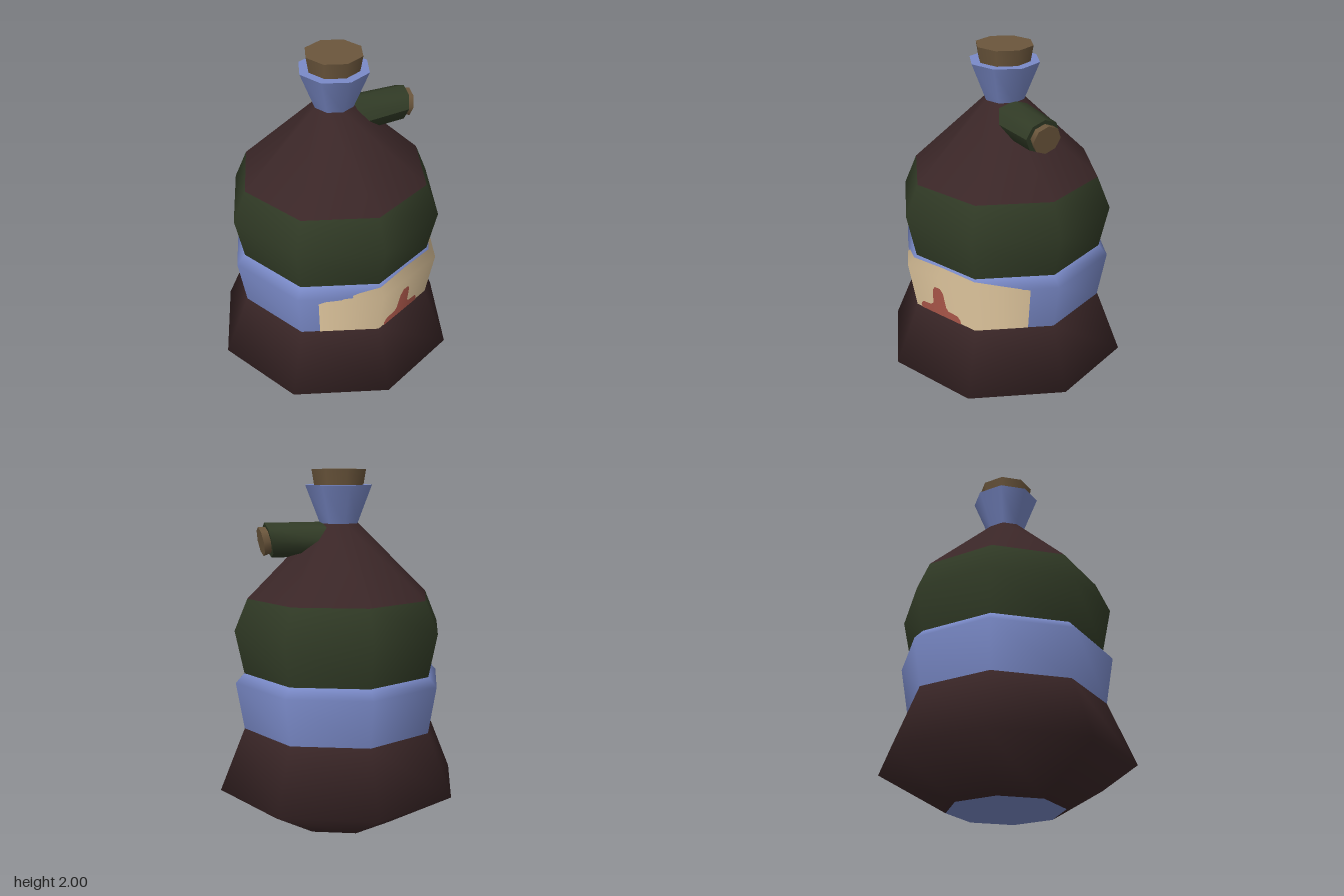
import * as THREE from 'three';

const SIDES = 8;
const mat = (name, color) => {
  const m = new THREE.MeshStandardMaterial({ color });
  m.name = name;
  return m;
};

export function createModel() {
  const group = new THREE.Group();
  const brown = mat('dark brown leather', 0x3a2627);
  const green = mat('dark green', 0x313b26);
  const blue = mat('blue', 0x7a8ac8);
  const cream = mat('cream paper', 0xdcc39b);
  const red = mat('red mark', 0xa85548);
  const cork = mat('cork brown', 0x6b563c);

  const add = (name, geometry, material) => {
    const mesh = new THREE.Mesh(geometry, material);
    mesh.name = name;
    group.add(mesh);
    return mesh;
  };
  // One octagonal band from [radius, height] pairs, bottom to top
  const band = (name, material, profile) =>
    add(name, new THREE.LatheGeometry(profile.map(p => new THREE.Vector2(...p)), SIDES), material);

  // Body bands
  const beltProfile = [[0.555, 0.57], [0.6, 0.835], [0.55, 0.888]];
  band('base', brown, [[0.32, 0], [0.7, 0.22], [0.555, 0.57]]);
  band('belt', blue, beltProfile);
  band('middle', green, [[0.55, 0.888], [0.6, 1.13], [0.525, 1.305]]);
  band('shoulder', brown, [[0.525, 1.305], [0.11, 1.707]]);
  band('neck', blue, [[0.11, 1.707], [0.193, 1.915]]);
  band('neckRim', blue, [[0.193, 1.915], [0.13, 1.915]]);
  add('underside', new THREE.CircleGeometry(0.32, SIDES).rotateX(Math.PI / 2), blue);

  // Stopper
  add('stopper', new THREE.CylinderGeometry(0.157, 0.138, 0.11, SIDES).translate(0, 1.945, 0), cork);

  // Side spout: an octagonal tube along +x whose outer end leans downwards
  const spout = new THREE.CylinderGeometry(0.095, 0.095, 1, SIDES, 1);
  spout.rotateZ(-Math.PI / 2);
  const sp = spout.attributes.position;
  for (let i = 0; i < sp.count; i++) {
    const y = sp.getY(i), z = sp.getZ(i);
    if (sp.getX(i) > 0) sp.setXYZ(i, 0.405 + y * 0.2, 1.62 + y, z * 1.03);
    else sp.setXYZ(i, 0.09, 1.62 + y, z * 1.25);
  }
  spout.computeVertexNormals();
  add('spout', spout, green);
  const plug = add('spoutStopper', new THREE.CylinderGeometry(0.08, 0.07, 0.06, SIDES), cork);
  plug.rotation.z = -Math.PI / 2 - 0.18;
  plug.position.set(0.415, 1.619, 0);

  // Belt radius at a height
  const beltRadius = y => {
    const [a, b, c] = beltProfile;
    const [p, q] = y < b[1] ? [a, b] : [b, c];
    return p[0] + (q[0] - p[0]) * (y - p[1]) / (q[1] - p[1]);
  };
  // Painted patch on the belt: columns of [angle in degrees, top height]
  const patch = (name, material, columns, lift) => {
    const pos = [], nor = [], index = [];
    columns.forEach(([deg, top], i) => {
      const a = deg * Math.PI / 180;
      const step = Math.PI * 2 / SIDES;
      const local = ((a % step) + step) % step - step / 2;
      for (const y of [0.571, Math.min(0.835, top), top]) {
        const r = (beltRadius(y) + lift) * Math.cos(step / 2) / Math.cos(local);
        pos.push(Math.sin(a) * r, y, Math.cos(a) * r);
        nor.push(Math.sin(a), 0, Math.cos(a));
      }
      if (i === 0) return;
      for (let j = 0; j < 2; j++) {
        const l = (i - 1) * 3 + j, r = i * 3 + j;
        index.push(l, r, r + 1, l, r + 1, l + 1);
      }
    });
    const g = new THREE.BufferGeometry();
    g.setAttribute('position', new THREE.Float32BufferAttribute(pos, 3));
    g.setAttribute('normal', new THREE.Float32BufferAttribute(nor, 3));
    g.setIndex(index);
    add(name, g, material);
  };

  // Label and its red mark
  patch('label', cream, [
    [-34.5, 0.8], [-31, 0.815], [-22, 0.825], [-12, 0.855], [0, 0.875],
    [22, 0.88], [45, 0.878], [60, 0.855], [75.5, 0.83],
  ], 0.004);
  patch('labelMark', red, [
    [4, 0.595], [6, 0.62], [12.5, 0.625], [14.5, 0.645], [16, 0.735], [18, 0.765],
    [22, 0.765], [23.8, 0.74], [24.7, 0.645], [26, 0.625], [33, 0.62], [35, 0.595],
  ], 0.008);

  return group;
}
